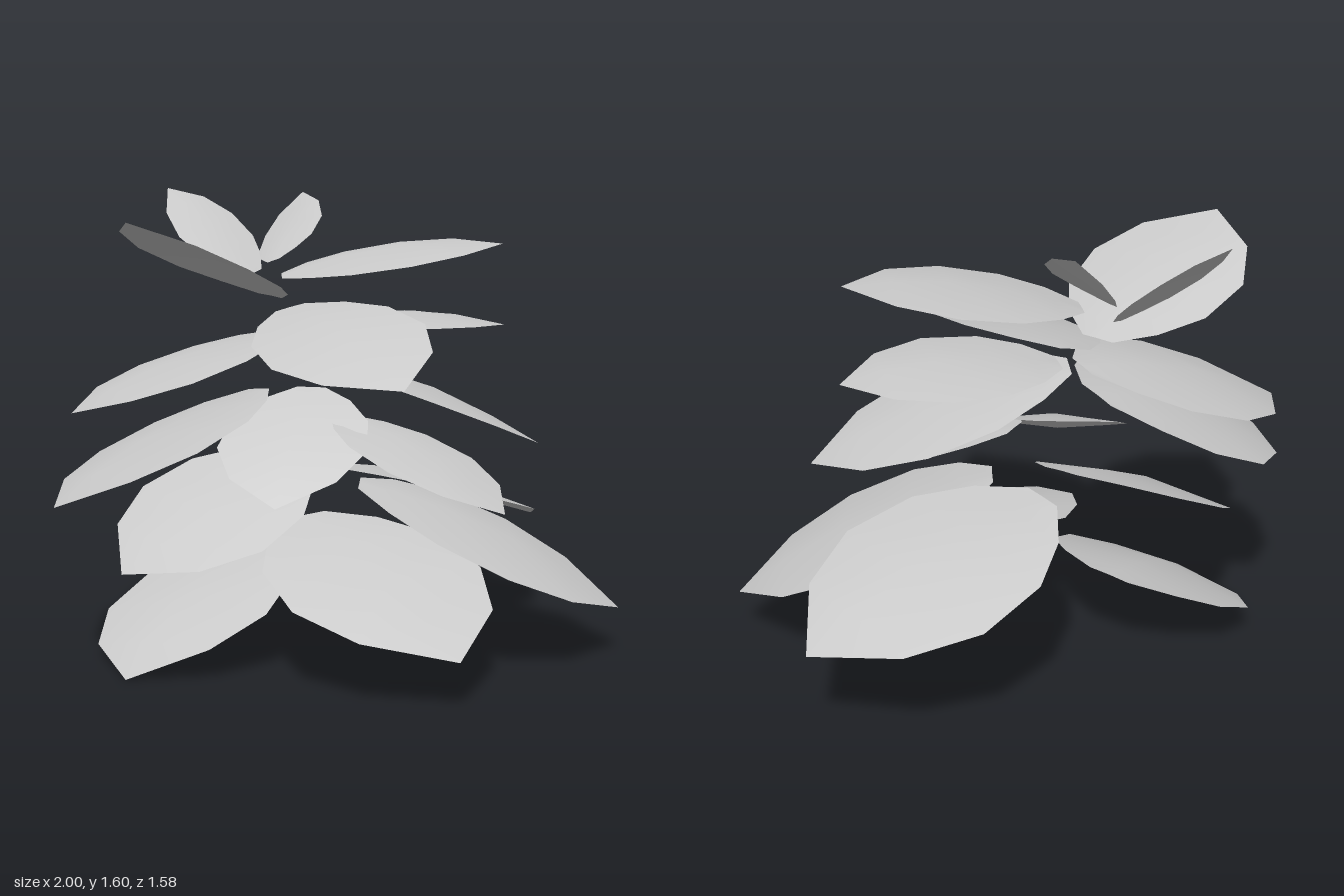
import * as THREE from 'three';

const UP = new THREE.Vector3(0, 1, 0);
// Leaf outline: [distance along the leaf, share of the half width]
const OUTLINE = [[0, 0.2], [0.12, 0.6], [0.3, 0.92], [0.56, 1], [0.8, 0.7], [1, 0]];

// One broad, slightly domed leaf from its base to its tip; roll raises one side.
function leaf(material, name, base, tip, halfWidth, roll, arch = 0.06) {
  const start = new THREE.Vector3(...base);
  const along = new THREE.Vector3(...tip).sub(start);
  const length = along.length();
  const dir = along.clone().normalize();
  const side = dir.clone().cross(UP).normalize().applyAxisAngle(dir, -roll);
  const normal = side.clone().cross(dir);
  const positions = [], index = [];
  for (const [t, w] of OUTLINE) {
    for (const s of [-1, 0, 1]) {
      // The midrib arches and the sides droop where the leaf is widest
      const lift = arch * length * Math.sin(Math.PI * t) - Math.abs(s) * w * w * halfWidth * 0.11;
      const p = start.clone()
        .addScaledVector(along, t)
        .addScaledVector(side, s * w * halfWidth)
        .addScaledVector(normal, lift);
      positions.push(p.x, p.y, p.z);
    }
  }
  for (let i = 0; i < OUTLINE.length - 1; i++) {
    for (let j = 0; j < 2; j++) {
      const a = i * 3 + j, b = a + 1, c = a + 3, d = a + 4;
      if (i === OUTLINE.length - 2) {
        // The last row closes to the single tip point
        index.push(a, b, 3 * (i + 1) + 1);
      } else {
        index.push(a, b, d, a, d, c);
      }
    }
  }
  const geometry = new THREE.BufferGeometry();
  geometry.setAttribute('position', new THREE.Float32BufferAttribute(positions, 3));
  geometry.setIndex(index);
  geometry.computeVertexNormals();
  const mesh = new THREE.Mesh(geometry, material);
  mesh.name = name;
  return mesh;
}

export function createModel() {
  const group = new THREE.Group();
  group.name = 'leafCluster';
  const material = new THREE.MeshStandardMaterial({ color: 0xcccccc, side: THREE.DoubleSide });

  // name, base, tip, half width, roll, arch
  const leaves = [
    // crown
    ['crownBackLeaf', [-0.06, 1.31, -0.47], [-0.24, 1.6, -0.79], 0.15, 0.3, 0.03],
    ['crownSmallLeaf', [-0.07, 1.36, -0.34], [0.18, 1.585, -0.53], 0.13, 0.4, -0.02],
    ['crownLeftLeaf', [-0.06, 1.31, -0.3], [0.6, 1.42, 0.12], 0.3, -0.06],
    ['crownRightLeaf', [-0.05, 1.23, -0.39], [-0.67, 1.52, -0.31], 0.32, 0.05, 0.04],
    // upper tier
    ['upperLeftLeaf', [0.02, 1.13, -0.28], [0.67, 1.12, 0.05], 0.28, 0, 0.07],
    ['upperFrontLeaf', [0, 1.19, -0.34], [-0.2, 1.03, 0.63], 0.28, -0.23, 0.05],
    ['upperRightLeaf', [-0.05, 1.11, -0.32], [-0.8, 0.86, -0.49], 0.35, -0.05],
    ['upperFrontLeftLeaf', [-0.1, 1.06, -0.2], [0.62, 0.73, 0.31], 0.3, 0.08],
    // middle tier
    ['middleRightLeaf', [-0.21, 0.93, -0.22], [-1, 0.6, -0.23], 0.41, -0.17],
    ['middleFrontRightLeaf', [0.03, 0.91, -0.25], [-0.41, 0.6, 0.2], 0.26, 0],
    ['middleFrontLeaf', [0.04, 0.83, -0.08], [0.25, 0.57, 0.585], 0.25, 0.06],
    ['middleLowRightLeaf', [-0.05, 0.69, -0.22], [-0.76, 0.34, -0.22], 0.37, 0.15],
    // lower tier
    ['lowerLeftLeaf', [0.05, 0.63, -0.24], [1, 0.34, -0.18], 0.39, 0.06],
    ['lowerFrontLeftLeaf', [0.04, 0.61, 0.04], [0.77, 0.17, 0.58], 0.37, -0.06],
    ['lowerFrontLeaf', [-0.05, 0.47, -0.16], [-0.09, 0.17, 0.79], 0.37, -0.08],
    ['lowerRightLeaf', [-0.1, 0.35, -0.42], [-0.8, 0, -0.13], 0.37, -0.15],
  ];
  for (const spec of leaves) group.add(leaf(material, ...spec));
  return group;
}
